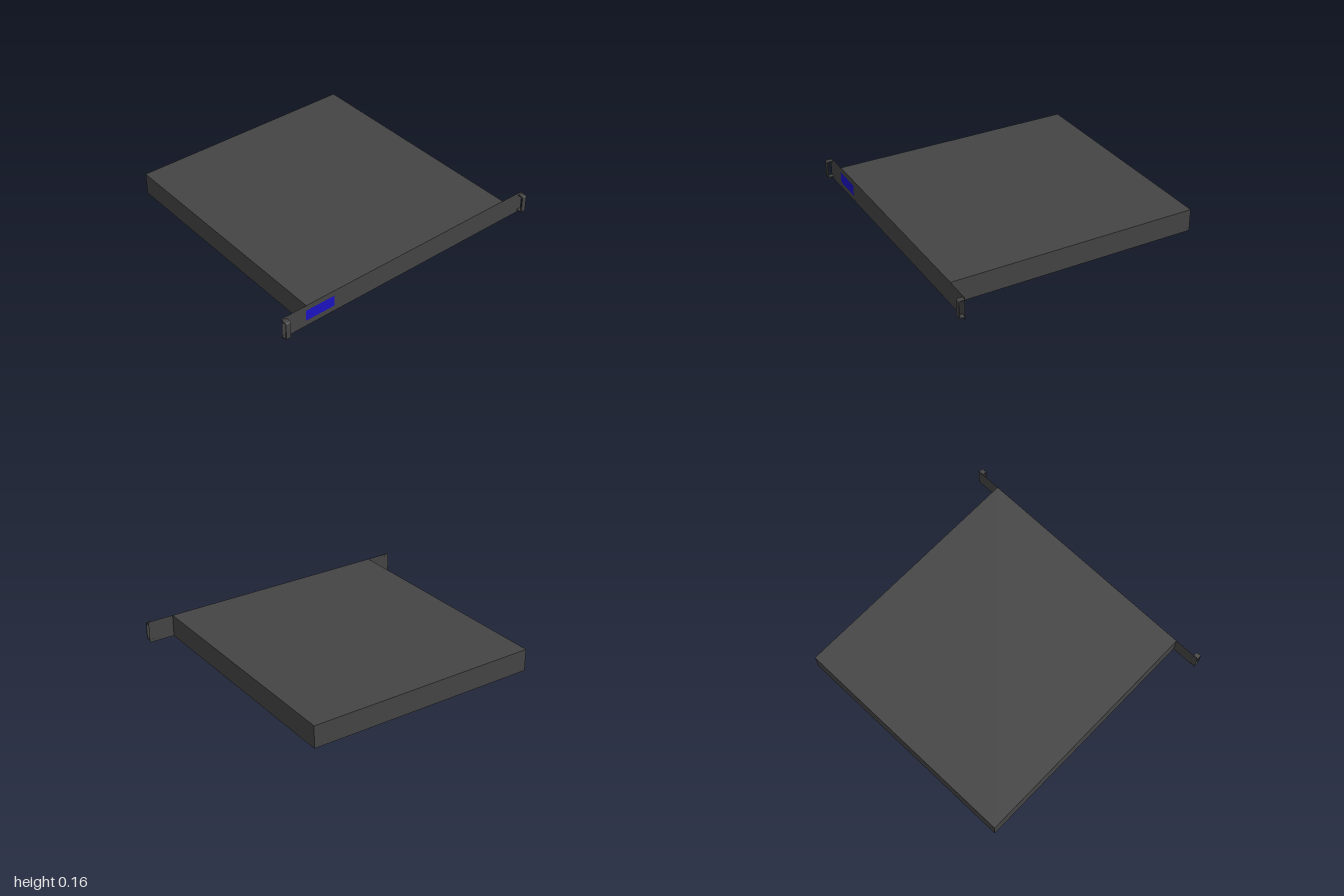
import * as THREE from 'three';

const FACE_X = 0.845; // plane of the front panel
const HEIGHT = 0.155;

// Adds a rounded rectangle to a shape or path
function roundedRect(path, x0, y0, x1, y1, r) {
  path.moveTo(x0, y0);
  path.lineTo(x1 - r, y0);
  path.quadraticCurveTo(x1, y0, x1, y0 + r);
  path.lineTo(x1, y1 - r);
  path.quadraticCurveTo(x1, y1, x1 - r, y1);
  path.lineTo(x0, y1);
}

// Flat U-shaped strap, open towards the panel
function handleGeometry(width) {
  const shape = new THREE.Shape();
  const t = 0.007, out = 0.041, y0 = 0.015, y1 = 0.14, r = 0.01;
  roundedRect(shape, 0, y0, out, y1, r);
  shape.lineTo(0, y1 - t);
  shape.lineTo(out - t - 0.004, y1 - t);
  shape.quadraticCurveTo(out - t, y1 - t, out - t, y1 - t - 0.004);
  shape.lineTo(out - t, y0 + t + 0.004);
  shape.quadraticCurveTo(out - t, y0 + t, out - t - 0.004, y0 + t);
  shape.lineTo(0, y0 + t);
  shape.closePath();
  const geo = new THREE.ExtrudeGeometry(shape, { depth: width, bevelEnabled: false, curveSegments: 5 });
  return geo.translate(0, 0, -width / 2);
}

export function createModel() {
  const group = new THREE.Group();
  const dark = new THREE.MeshStandardMaterial({ color: 0x444444 });
  const panelMat = new THREE.MeshStandardMaterial({ color: 0x444444, side: THREE.DoubleSide });
  const blue = new THREE.MeshStandardMaterial({ color: 0x1a12c0 });

  const add = (name, geo, mat, x, y, z) => {
    const mesh = new THREE.Mesh(geo, mat);
    mesh.name = name;
    mesh.position.set(x, y, z);
    group.add(mesh);
    return mesh;
  };

  // Chassis
  const back = -0.887;
  add('chassis', new THREE.BoxGeometry(FACE_X - back, HEIGHT, 1.636), dark,
    (FACE_X + back) / 2, HEIGHT / 2, 0);

  // Thin mounting panel with ears reaching past the chassis
  add('mountingPanel', new THREE.PlaneGeometry(2, HEIGHT).rotateY(Math.PI / 2), panelMat,
    FACE_X + 0.0005, HEIGHT / 2, 0);

  // Display window
  add('display', new THREE.PlaneGeometry(0.217, 0.078).rotateY(Math.PI / 2), blue,
    FACE_X + 0.002, 0.08, 0.714);

  // Handles on both ears
  const handle = handleGeometry(0.035);
  for (const side of [-1, 1]) {
    add(side > 0 ? 'frontHandle' : 'rearHandle', handle, dark, FACE_X, 0, side * 0.9825);
  }
  return group;
}
